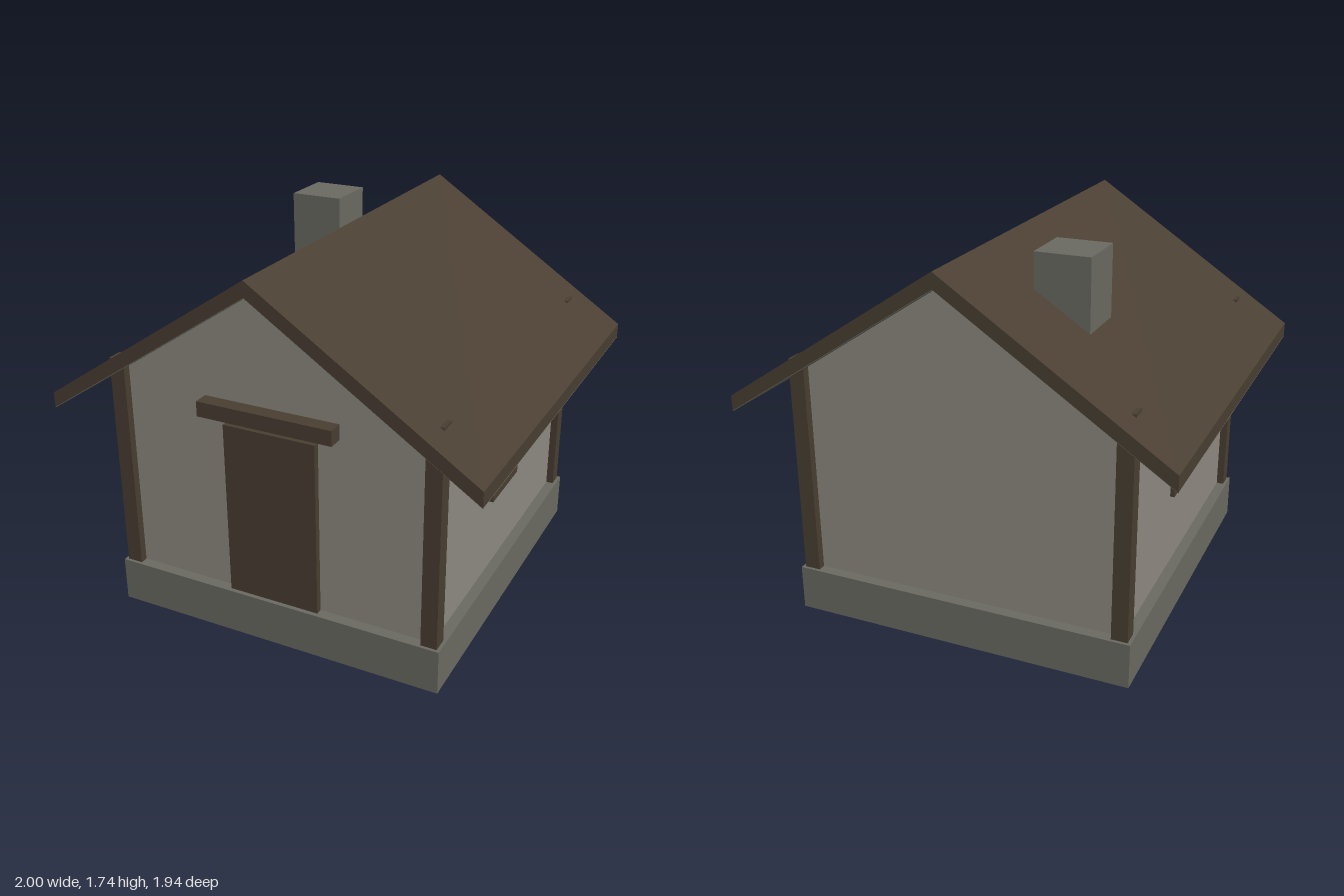
import * as THREE from 'three';

const mat = (name, color) => {
  const m = new THREE.MeshStandardMaterial({ color });
  m.name = name;
  return m;
};

export function createModel() {
  const house = new THREE.Group();
  house.name = 'cottage';
  const wood = mat('dark wood', 0x4a3f32);
  const plaster = mat('plaster', 0x8f8b82);
  const stone = mat('stone', 0x6b6b63);
  stone.side = THREE.DoubleSide;

  const add = (name, geometry, material) => {
    const mesh = new THREE.Mesh(geometry, material);
    mesh.name = name;
    house.add(mesh);
    return mesh;
  };
  // box given by its lower and upper corner
  const box = (name, material, [x0, y0, z0], [x1, y1, z1]) => {
    const mesh = add(name, new THREE.BoxGeometry(x1 - x0, y1 - y0, z1 - z0), material);
    mesh.position.set((x0 + x1) / 2, (y0 + y1) / 2, (z0 + z1) / 2);
    return mesh;
  };
  // outline in x and y, extruded evenly along z
  const prism = (name, material, outline, halfDepth) => {
    const shape = new THREE.Shape(outline.map(([x, y]) => new THREE.Vector2(x, y)));
    const geo = new THREE.ExtrudeGeometry(shape, { depth: halfDepth * 2, bevelEnabled: false });
    return add(name, geo.translate(0, 0, -halfDepth), material);
  };

  // foundation: a box that is open underneath
  const foundation = box('foundation', stone, [-0.8, 0, -0.85], [0.8, 0.21, 0.85]);
  const faces = Array.from(foundation.geometry.index.array);
  faces.splice(18, 6);
  foundation.geometry.clearGroups();
  foundation.geometry.setIndex(faces);

  // walls with gables, and the roof
  prism('walls', plaster, [[-0.75, 0.21], [0.75, 0.21], [0.75, 1.18], [0, 1.675], [-0.75, 1.18]], 0.8);
  prism('roof', wood, [[-1, 1.01], [0, 1.672], [1, 1.01], [1, 1.08], [0, 1.742], [-1, 1.08]], 0.97);

  // thin lining under each roof slope
  for (const s of [-1, 1]) {
    const length = Math.hypot(1, 0.662);
    const lining = add('roofLining', new THREE.BoxGeometry(length, 0.004, 1.936), stone);
    lining.position.set(s * 0.5, 1.34, 0);
    lining.rotation.z = -s * Math.atan(0.662);
  }

  box('chimney', stone, [-0.485, 1.25, -0.54], [-0.235, 1.742, -0.285]);

  // corner posts, whose tops just break through the roof
  for (const x of [-0.748, 0.748]) {
    for (const z of [-0.8, 0.8]) {
      box('cornerPost', wood, [x - 0.037, 0.21, z - 0.036], [x + 0.037, 1.235, z + 0.036]);
    }
  }

  // door and its lintel
  box('door', wood, [-0.22, 0.045, 0.78], [0.22, 1.03, 0.83]);
  box('doorLintel', wood, [-0.32, 1.065, 0.79], [0.32, 1.135, 0.87]);

  // shuttered windows and their lintels on both sides
  for (const s of [-1, 1]) {
    const window = box('window', wood, [-0.02, 0.565, -0.165], [0.02, 0.99, 0.165]);
    window.position.x = s * 0.75;
    const lintel = box('windowLintel', wood, [-0.04, 0.983, -0.215], [0.04, 1.03, 0.215]);
    lintel.position.x = s * 0.78;
  }
  return house;
}
